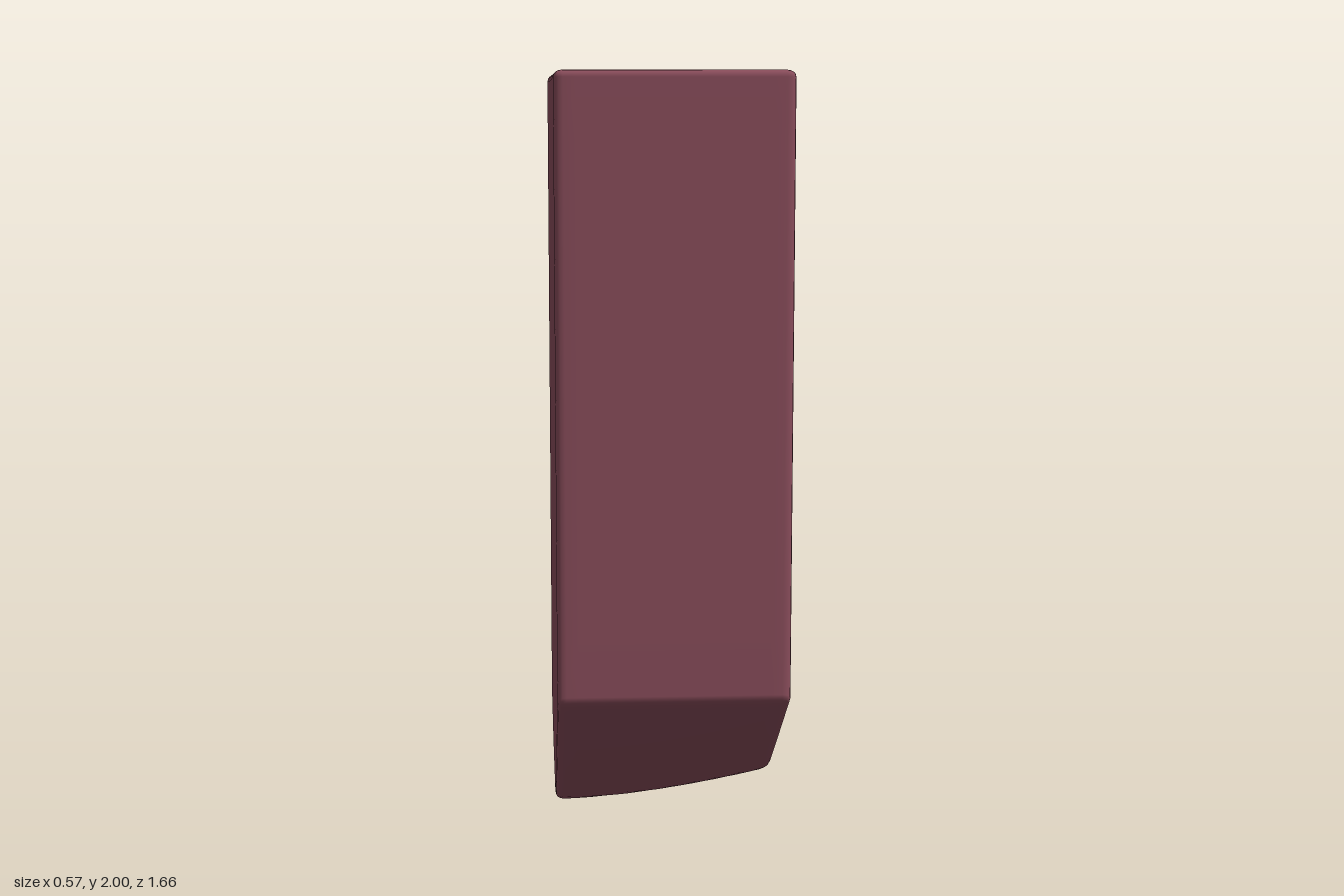
import * as THREE from 'three';
import { mergeVertices } from 'three/addons/utils/BufferGeometryUtils.js';

const HALF = { x: 0.285, y: 1, z: 0.832 };
const BEVEL = 0.022;
const BAND = 3; // grid rows spent on each rounded edge

// Height of the underside: a front ramp blended into a belly that curves up to +x and to the back
function underside(x, z) {
  const ramp = 0.48 + (z - 0.832) * 0.683;
  const across = 0.15 * Math.pow(Math.max(0, (x + 0.27) / 0.555), 1.7);
  const belly = across + 0.105 * Math.max(0, -0.4 - z);
  return 0.5 * (ramp + belly + Math.hypot(ramp - belly, 0.025));
}

// Spread evenly spaced grid lines so that the outer ones fall inside the bevel
function spread(t, segments, half) {
  const i = Math.round((t + 0.5) * segments);
  const inner = half - BEVEL;
  if (i <= BAND) return -half + BEVEL * (1 - Math.cos((i / BAND) * Math.PI / 2));
  if (i >= segments - BAND) return half - BEVEL * (1 - Math.cos(((segments - i) / BAND) * Math.PI / 2));
  return -inner + (2 * inner * (i - BAND)) / (segments - 2 * BAND);
}

function createBlockGeometry() {
  const n = { x: 24, y: 16, z: 56 };
  let geometry = new THREE.BoxGeometry(1, 1, 1, n.x, n.y, n.z);
  geometry.deleteAttribute('uv');
  geometry.deleteAttribute('normal');
  geometry = mergeVertices(geometry);
  const position = geometry.attributes.position;
  const p = new THREE.Vector3();
  const core = new THREE.Vector3();
  for (let i = 0; i < position.count; i++) {
    p.fromBufferAttribute(position, i);
    for (const a of ['x', 'y', 'z']) {
      p[a] = spread(p[a], n[a], HALF[a]);
      core[a] = THREE.MathUtils.clamp(p[a], -HALF[a] + BEVEL, HALF[a] - BEVEL);
    }
    // Round the edges, then lift the bottom while the top stays level
    p.sub(core).setLength(BEVEL).add(core);
    p.y += 1;
    p.y += underside(p.x, p.z) * (1 - p.y / 2);
    position.setXYZ(i, p.x, p.y, p.z);
  }
  geometry.computeVertexNormals();
  return geometry;
}

export function createModel() {
  const group = new THREE.Group();
  group.name = 'roundedBlock';
  const block = new THREE.Mesh(
    createBlockGeometry(),
    new THREE.MeshStandardMaterial({ color: 0x884c5a })
  );
  block.name = 'block';
  group.add(block);
  return group;
}
